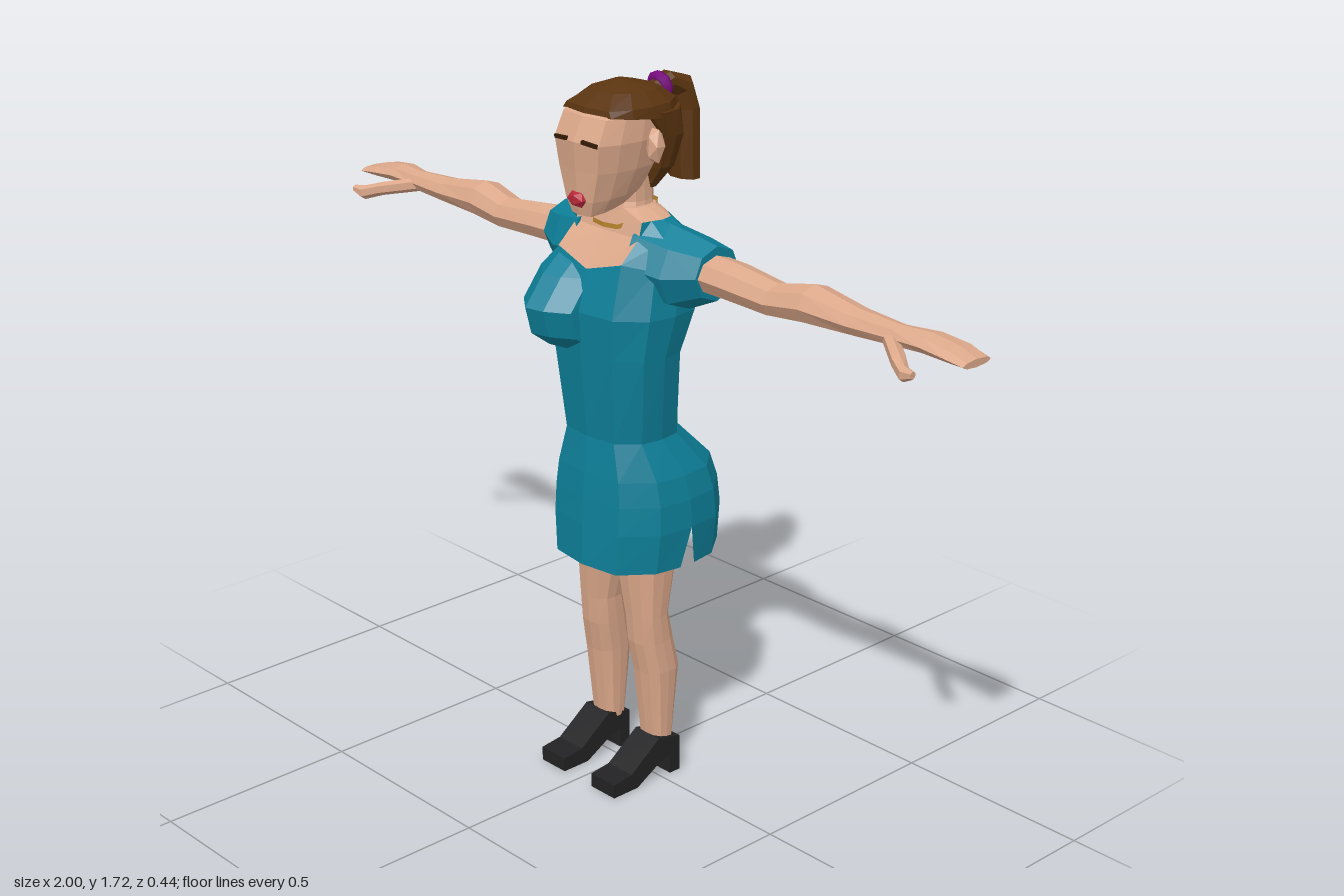
import * as THREE from 'three';

const material = (name, color, side = THREE.FrontSide) => {
  const m = new THREE.MeshStandardMaterial({ color, side });
  m.name = name;
  return m;
};
const V = (x, y, z) => new THREE.Vector3(x, y, z);

// Horizontal cross-section: half width w, front f, back b; the side point is doubled so it can open into a slit
function ring(y, w, f, b, { cx = 0, tilt = 0, inner = 0.6, slit = 0, dip = 0 } = {}) {
  const c = (f + b) / 2, h = (f - b) / 2;
  const half = [[0, 1], [inner, 0.92], [0.94, 0.5], [1, slit / h], [1, -slit / h], [0.94, -0.5], [0.6, -0.92], [0, -1]]
    .map(([x, z]) => V(x * w, y + tilt * (c + z * h), c + z * h));
  half[0].y -= dip;
  half[1].y += dip;
  const other = half.slice(1, -1).reverse().map(p => V(-p.x, p.y, p.z));
  return [...half, ...other].map(p => (p.x += cx, p));
}

// Upright cross-section across the x axis, for arms
const slice = (x, yc, zc, hy, hz, n = 8) => Array.from({ length: n }, (_, k) => {
  const a = (k / n) * Math.PI * 2;
  return V(x, yc + hy * Math.cos(a), zc + hz * Math.sin(a));
});

const mirrored = rings => rings.map(r => r.map(p => V(-p.x, p.y, p.z)).reverse());

// Faceted skin over a list of cross-sections; pick(row, column) chooses the material, null leaves a gap
function loft(name, rings, mat, { pick = () => mat, bottom = true, top = true } = {}) {
  const faces = new Map();
  const tri = (m, a, b, c) => {
    const area = b.clone().sub(a).cross(c.clone().sub(a)).length();
    if (!m || area < 1e-8) return;
    if (!faces.has(m)) faces.set(m, []);
    faces.get(m).push(a, b, c);
  };
  const n = rings[0].length;
  for (let i = 0; i < rings.length - 1; i++) {
    for (let j = 0; j < n; j++) {
      const k = (j + 1) % n, m = pick(i, j);
      tri(m, rings[i][j], rings[i][k], rings[i + 1][k]);
      tri(m, rings[i][j], rings[i + 1][k], rings[i + 1][j]);
    }
  }
  const cap = (r, up) => {
    const c = r.reduce((s, p) => s.add(p), V(0, 0, 0)).divideScalar(n);
    r.forEach((p, j) => {
      const q = r[(j + 1) % n];
      up ? tri(mat, c, p, q) : tri(mat, c, q, p);
    });
  };
  if (bottom) cap(rings[0], false);
  if (top) cap(rings[rings.length - 1], true);
  const group = new THREE.Group();
  group.name = name;
  for (const [m, pts] of faces) {
    const g = new THREE.BufferGeometry().setFromPoints(pts);
    g.computeVertexNormals();
    const mesh = new THREE.Mesh(g, m);
    mesh.name = `${name} ${m.name}`;
    group.add(mesh);
  }
  return group;
}

export function createModel() {
  const skin = material('skin', 0xdca88a);
  const teal = material('teal cloth', 0x0e8099, THREE.DoubleSide);
  const brown = material('brown hair', 0x5a3410);
  const dark = material('dark brown', 0x351c08);
  const black = material('black leather', 0x222224);
  const purple = material('purple band', 0x7a0a80);
  const gold = material('gold', 0xb8862b, THREE.DoubleSide);
  const red = material('red lips', 0xb8283a);

  const model = new THREE.Group();
  model.name = 'woman';
  const add = (name, geo, mat, x = 0, y = 0, z = 0) => {
    const mesh = new THREE.Mesh(geo, mat);
    mesh.name = name;
    mesh.position.set(x, y, z);
    model.add(mesh);
    return mesh;
  };

  // Dress with side slits and a bare neckline
  const dress = [
    ring(0.57, 0.172, 0.14, -0.22, { slit: 0.022 }),
    ring(0.67, 0.185, 0.138, -0.22),
    ring(0.74, 0.183, 0.134, -0.21),
    ring(0.80, 0.172, 0.13, -0.19),
    ring(0.89, 0.135, 0.12, -0.10),
    ring(1.10, 0.163, 0.14, -0.085),
    ring(1.20, 0.178, 0.15, -0.13),
    ring(1.31, 0.17, 0.12, -0.135, { dip: 0.015, inner: 0.62 }),
    ring(1.375, 0.165, 0.062, -0.095, { inner: 0.64 }),
    ring(1.41, 0.115, 0.05, -0.07, { inner: 0.9 }),
    ring(1.43, 0.065, 0.045, -0.06),
  ];
  model.add(loft('dress', dress, skin, {
    bottom: false,
    pick: (i, j) => {
      if (i === 0 && (j === 3 || j === 10)) return null;
      return i === 9 || (i >= 7 && (j === 0 || j === 13)) ? skin : teal;
    },
  }));

  // Bust fullness on the model's right side
  const bust = [[1.095, 0.145, 0.9], [1.135, 0.2, 1], [1.2, 0.217, 1], [1.27, 0.162, 1], [1.325, 0.095, 0.9]]
    .map(([y, z, s]) => [[0.01, 0.07], [0.005, z - 0.045], [-0.05, z - 0.01], [-0.1, z], [-0.158 * s, z - 0.045], [-0.165 * s, 0.05]]
      .map(([x, d]) => V(x, y, d)).reverse());
  model.add(loft('bust', bust, teal));

  // Sleeves, arms, thumbs, legs and shoes
  const sleeve = [slice(0.09, 1.315, -0.01, 0.095, 0.1), slice(0.18, 1.3, -0.03, 0.09, 0.095), slice(0.255, 1.308, -0.043, 0.064, 0.068)];
  const arm = [
    [0.22, 1.308, -0.04, 0.045, 0.058], [0.32, 1.305, -0.04, 0.043, 0.058], [0.45, 1.297, -0.035, 0.038, 0.05],
    [0.55, 1.31, -0.045, 0.045, 0.056], [0.68, 1.305, -0.04, 0.03, 0.045], [0.8, 1.307, -0.034, 0.024, 0.033],
    [0.88, 1.308, -0.047, 0.022, 0.045], [0.95, 1.302, -0.05, 0.017, 0.05], [1, 1.296, -0.045, 0.009, 0.044],
  ].map(a => slice(...a));
  const thumb = [slice(0.78, 1.302, -0.025, 0.018, 0.022, 6), slice(0.86, 1.285, 0.035, 0.017, 0.024, 6),
    slice(0.9, 1.272, 0.062, 0.018, 0.017, 6), slice(0.93, 1.278, 0.07, 0.009, 0.009, 6)];
  const sole = [[0.157, 0], [0.157, 0.035], [0.1, 0.042], [0.01, 0.108], [-0.06, 0.092], [-0.06, 0], [-0.028, 0], [-0.028, 0.05], [0, 0.045], [0.08, 0]];

  for (const s of [1, -1]) {
    const side = s > 0 ? 'left' : 'right';
    const fit = r => (s > 0 ? r : mirrored(r));
    model.add(loft(`${side} sleeve`, fit(sleeve), teal));
    model.add(loft(`${side} arm`, fit(arm), skin));
    model.add(loft(`${side} thumb`, fit(thumb), skin));

    const leg = [
      [0.09, 0.085, 0.037, 0.008, -0.057], [0.28, 0.085, 0.045, 0.03, -0.075], [0.36, 0.081, 0.046, 0.045, -0.058],
      [0.43, 0.08, 0.048, 0.05, -0.042], [0.57, 0.069, 0.066, 0.062, -0.07], [0.72, 0.075, 0.07, 0.075, -0.1],
    ].map(([y, cx, w, f, b]) => ring(y, w, f, b, { cx: s * cx }));
    model.add(loft(`${side} leg`, leg, skin));

    const shoe = new THREE.ExtrudeGeometry(new THREE.Shape(sole.map(p => new THREE.Vector2(...p))), { depth: 0.082, bevelEnabled: false });
    shoe.rotateY(-Math.PI / 2).translate(0.041, 0, 0);
    add(`${side} shoe`, shoe, black, s * 0.09);

    add(`${side} ear`, new THREE.IcosahedronGeometry(1, 0).scale(0.022, 0.045, 0.024), skin, s * 0.104, 1.58, 0.005);
    const brow = add(`${side} eyebrow`, new THREE.BoxGeometry(0.046, 0.009, 0.008), dark, s * 0.047, 1.597, 0.149);
    brow.rotation.set(0, s * 0.13, s * -0.08);
  }

  // Neck and necklace
  model.add(loft('neck', [ring(1.38, 0.062, 0.055, -0.062), ring(1.44, 0.052, 0.036, -0.062), ring(1.52, 0.05, 0.04, -0.06)], skin));
  const chain = y => ring(y, 0.068, 0.068, -0.068, { tilt: -0.32 });
  model.add(loft('necklace', [chain(1.405), chain(1.416)], gold, { bottom: false, top: false }));

  // Head: jaw rises toward the back
  const face = { inner: 0.75 };
  model.add(loft('head', [
    ring(1.452, 0.045, 0.138, 0.01, { inner: 0.7, tilt: -0.2 }),
    ring(1.475, 0.064, 0.146, -0.03, { inner: 0.7, tilt: -0.1 }),
    ring(1.53, 0.085, 0.15, -0.06, face),
    ring(1.595, 0.097, 0.156, -0.08, face),
    ring(1.65, 0.094, 0.13, -0.08, face),
    ring(1.68, 0.08, 0.1, -0.06, face),
  ], skin));
  add('lips', new THREE.IcosahedronGeometry(1, 0).scale(0.03, 0.02, 0.014), red, 0, 1.463, 0.146);

  // Hair: cap over the crown, mass at the back of the skull
  model.add(loft('hair crown', [
    ring(1.64, 0.106, 0.125, -0.116, { inner: 0.75, tilt: 0.12 }),
    ring(1.668, 0.1, 0.122, -0.106, { inner: 0.7 }),
    ring(1.696, 0.068, 0.08, -0.07),
    ring(1.715, 0.015, 0.03, 0),
  ], brown));
  model.add(loft('hair back', [
    ring(1.465, 0.05, -0.02, -0.062),
    ring(1.515, 0.082, -0.015, -0.1),
    ring(1.59, 0.102, -0.005, -0.118),
    ring(1.65, 0.106, 0.06, -0.116),
  ], brown));

  // Ponytail swept along a drooping path: z, y, direction angle, half width, half thickness
  const tail = [
    [-0.085, 1.675, 0.3, 0.02, 0.018], [-0.13, 1.69, 0.1, 0.028, 0.022], [-0.168, 1.672, -0.8, 0.038, 0.03],
    [-0.181, 1.62, -1.45, 0.045, 0.029], [-0.184, 1.455, -1.57, 0.046, 0.029],
  ].map(([z, y, a, w, t]) => Array.from({ length: 8 }, (_, k) => {
    const u = (k / 8 + 1 / 16) * Math.PI * 2, n = Math.sin(u) * t;
    return V(w * Math.cos(u), y - Math.cos(a) * n, z - Math.sin(a) * n);
  }));
  model.add(loft('ponytail', tail, brown));
  add('hair band', new THREE.TorusGeometry(0.024, 0.014, 6, 8), purple, 0, 1.678, -0.106).rotation.x = 0.2;

  return model;
}
